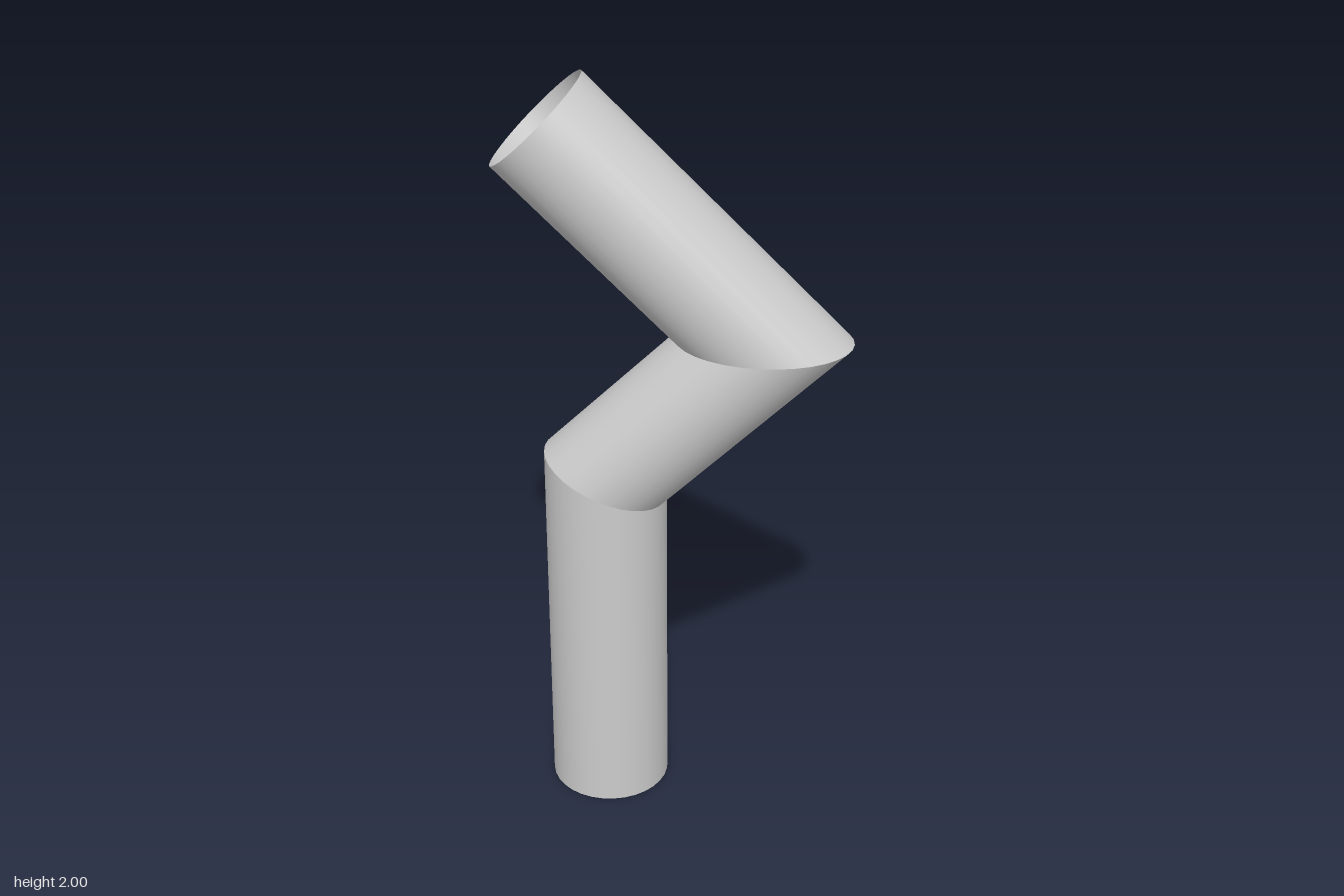
import * as THREE from 'three';

const RADIUS = 0.157;
const SIDES = 32;

// Axis of the bent pipe, from the foot to the open upper end
const AXIS = [[-0.178, 0], [-0.178, 0.94], [0.222, 1.34], [-0.332, 1.89]]
  .map(([x, y]) => new THREE.Vector2(x, y));
const NAMES = ['lowerPipe', 'middlePipe', 'upperPipe'];

// Straight open pipe whose ends are cut at a slant (slope across local x)
function pipe(from, to, slopeFrom, slopeTo) {
  const length = from.distanceTo(to);
  const geometry = new THREE.CylinderGeometry(RADIUS, RADIUS, length, SIDES, 1, true);
  geometry.rotateY(Math.PI / 2);
  const p = geometry.attributes.position;
  for (let i = 0; i < p.count; i++) {
    const slope = p.getY(i) > 0 ? slopeTo : slopeFrom;
    p.setY(i, p.getY(i) + slope * p.getX(i));
  }
  geometry.rotateZ(to.clone().sub(from).angle() - Math.PI / 2);
  geometry.translate((from.x + to.x) / 2, (from.y + to.y) / 2, 0);
  return geometry;
}

export function createModel() {
  const group = new THREE.Group();
  group.name = 'bentPipe';
  const material = new THREE.MeshStandardMaterial({ color: 0xcccccc, side: THREE.DoubleSide });

  const angles = NAMES.map((_, i) => AXIS[i + 1].clone().sub(AXIS[i]).angle());
  // Mitre slope at each joint: half of the turn; the two free ends are square
  const mitre = (i) => (i < 1 || i >= NAMES.length ? 0 : Math.tan((angles[i] - angles[i - 1]) / 2));

  NAMES.forEach((name, i) => {
    const mesh = new THREE.Mesh(pipe(AXIS[i], AXIS[i + 1], -mitre(i), mitre(i + 1)), material);
    mesh.name = name;
    group.add(mesh);
  });
  return group;
}
